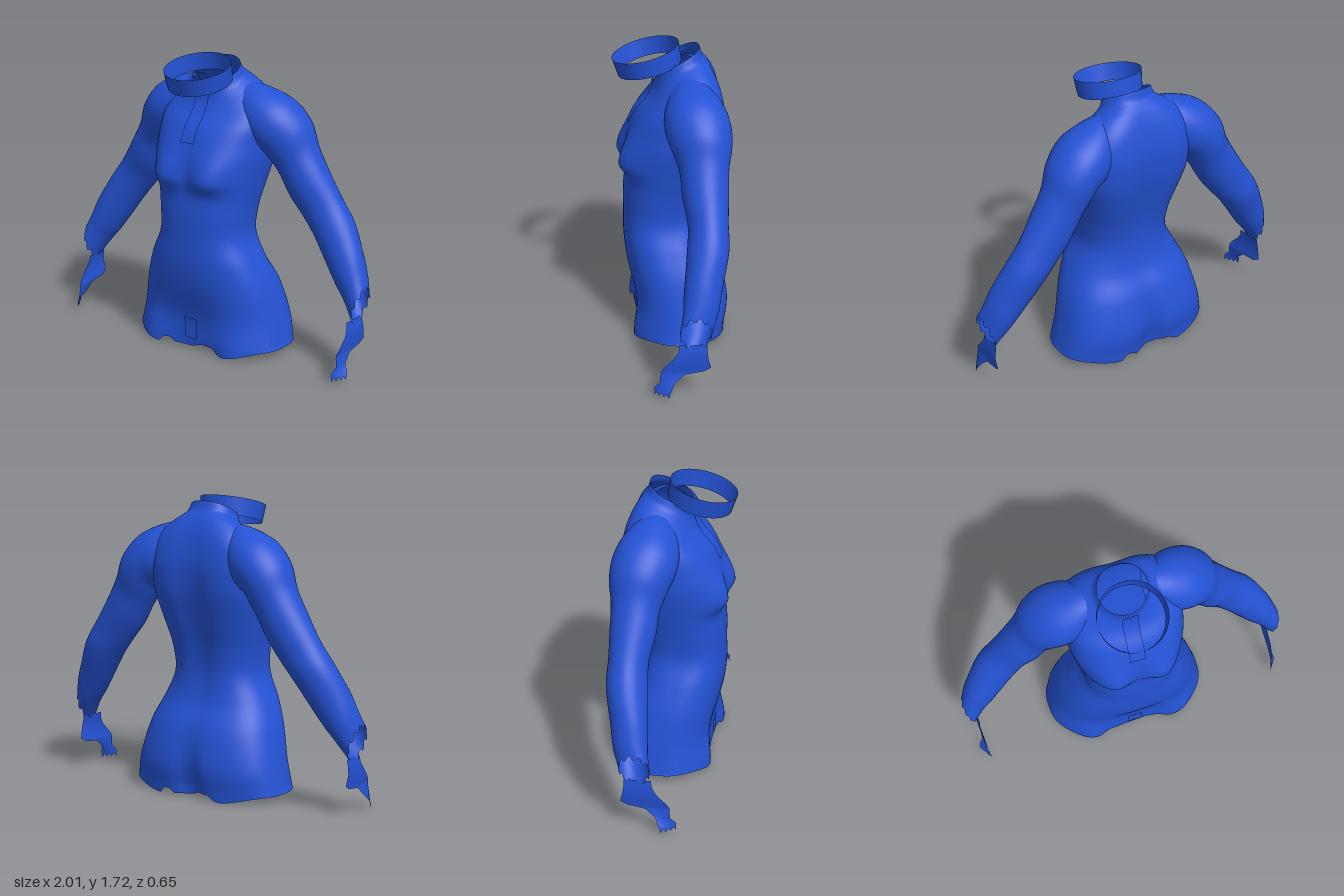
import * as THREE from 'three';

const blue = new THREE.MeshStandardMaterial({ color: 0x2452d4, side: THREE.DoubleSide });
blue.name = 'suit blue';

// Smooth grid from fn(u, v) -> [x, y, z]; closed joins the u ends
function loft(name, fn, nu, nv, closed, flip) {
  const pos = [], idx = [], cols = closed ? nu : nu + 1;
  for (let j = 0; j <= nv; j++)
    for (let i = 0; i < cols; i++) pos.push(...fn(i / nu, j / nv, i, j));
  for (let j = 0; j < nv; j++)
    for (let i = 0; i < nu; i++) {
      const k = (i + 1) % cols;
      const a = j * cols + i, b = j * cols + k, c = a + cols, d = b + cols;
      if (flip) idx.push(a, c, b, b, c, d);
      else idx.push(a, b, c, b, d, c);
    }
  const g = new THREE.BufferGeometry();
  g.setAttribute('position', new THREE.Float32BufferAttribute(pos, 3));
  g.setIndex(idx);
  g.computeVertexNormals();
  const mesh = new THREE.Mesh(g, blue);
  mesh.name = name;
  return mesh;
}

const spline = (rows, pick) => new THREE.CatmullRomCurve3(
  rows.map(r => new THREE.Vector3(...pick(r))), false, 'catmullrom', 0.5);
const { smoothstep, lerp } = THREE.MathUtils;
const bell = (d, s) => Math.exp(-(d * d) / (s * s));
const spow = (v, e) => Math.sign(v) * Math.pow(Math.abs(v), e);

// Torso sections: height, half width, front z, back z
const torsoRows = [
  [0.04, 0.492, 0.205, -0.305], [0.2, 0.457, 0.212, -0.325], [0.4, 0.408, 0.262, -0.28],
  [0.55, 0.345, 0.28, -0.205], [0.7, 0.276, 0.28, -0.185], [0.85, 0.28, 0.278, -0.205],
  [1.0, 0.306, 0.262, -0.245], [1.15, 0.333, 0.25, -0.282], [1.25, 0.335, 0.228, -0.294],
  [1.35, 0.335, 0.185, -0.294], [1.45, 0.31, 0.13, -0.265], [1.52, 0.26, 0.098, -0.228],
  [1.56, 0.205, 0.086, -0.198], [1.59, 0.16, 0.085, -0.177], [1.635, 0.138, 0.088, -0.162],
];
const torsoY = spline(torsoRows, r => [r[0], 0, 0]);
const torsoSize = spline(torsoRows, r => [r[1], r[2], r[3]]);

function torsoPoint(t, a) {
  let y = torsoY.getPoint(t).x;
  const s = torsoSize.getPoint(t);
  const front = Math.max(0, Math.sin(a)), back = Math.max(0, -Math.sin(a));
  // squarer across the back and hips, round at the neck
  const body = Math.sin(a) > 0
    ? lerp(0.7, 0.84, smoothstep(y, 0.1, 0.5))
    : lerp(0.78, 0.55, smoothstep(y, 0.8, 1.3));
  const e = lerp(body, 1, smoothstep(y, 1.4, 1.6));
  const zc = (s.y + s.z) / 2, depth = (s.y - s.z) / 2;
  const x = s.x * spow(Math.cos(a), e);
  let z = zc + depth * spow(Math.sin(a), e);
  // chest, thighs, spine groove and seat cleft
  z += 0.075 * front * bell(Math.abs(x) - 0.17, 0.13) * bell(y - 1.05, y > 1.05 ? 0.15 : 0.065);
  z += 0.06 * front * bell(Math.abs(x) - 0.3, 0.14) * bell(y, 0.22);
  z += 0.03 * back * bell(x, 0.1) * bell(y - 1.05, 0.45);
  z += 0.06 * back * bell(x, 0.07) * bell(y - 0.05, 0.25);
  // neckline slopes down to the front
  y += 0.5 * smoothstep(y, 1.3, 1.62) * (zc - z);
  return [x, y, z];
}

// Arm sections: outer x, y, inner x, y, front z, back z
const armRows = [
  [0.16, 1.58, 0.15, 1.27, 0.02, -0.2], [0.3, 1.55, 0.26, 1.21, 0.06, -0.275],
  [0.44, 1.49, 0.32, 1.18, 0.06, -0.298], [0.545, 1.38, 0.355, 1.13, 0.03, -0.295],
  [0.6, 1.245, 0.4, 1.06, -0.005, -0.275], [0.67, 1.12, 0.465, 0.945, -0.015, -0.268],
  [0.765, 0.97, 0.545, 0.84, -0.037, -0.257], [0.855, 0.84, 0.636, 0.73, -0.025, -0.252],
  [0.93, 0.7, 0.786, 0.515, 0.0, -0.205], [0.97, 0.6, 0.866, 0.417, 0.01, -0.18],
  [1.0, 0.515, 0.938, 0.315, 0.03, -0.14],
];
const armOuter = spline(armRows, r => [r[0], r[1], r[4]]);
const armInner = spline(armRows, r => [r[2], r[3], r[5]]);

function makeArm(side) {
  const nv = 60;
  return loft('sleeve', (u, v, i, j) => {
    const a = u * Math.PI * 2, o = armOuter.getPoint(v), n = armInner.getPoint(v);
    const c = (1 + Math.cos(a)) / 2;
    const tooth = j === nv ? (i % 4 < 2 ? 0.012 : -0.008) : 0; // ragged cuff
    return [
      side * (n.x + (o.x - n.x) * c + tooth * 0.3),
      n.y + (o.y - n.y) * c - tooth,
      (o.z + n.z) / 2 + (o.z - n.z) / 2 * Math.sin(a),
    ];
  }, 40, nv, true, side < 0);
}

// Torn hand piece: height, front z, back z, x
const handRows = [
  [0.33, 0.028, -0.12, 0.938], [0.29, 0.035, -0.12, 0.945], [0.25, 0.06, -0.125, 0.95],
  [0.19, 0.115, -0.14, 0.945], [0.165, 0.13, -0.1, 0.938], [0.15, 0.13, 0.0, 0.938],
  [0.1, 0.135, 0.055, 0.943], [0.065, 0.165, 0.075, 0.95], [0.03, 0.165, 0.09, 0.952],
];
function makeHand(side) {
  return loft('handPanel', (u, v, i, j) => {
    const [y, zf, zb, x] = handRows[j];
    const curl = (y < 0.08 ? 0.05 : 0.012) * (u - 0.5);
    const tear = j === handRows.length - 1 ? (i % 2 ? 0.012 : -0.008) : 0;
    return [side * (x + curl), y + tear, zf + (zb - zf) * u];
  }, 6, handRows.length - 1, false, side > 0);
}

// Narrow strip that follows the middle of the torso front
function frontStrip(name, t0, t1, half, lift) {
  return loft(name, (u, v) => {
    const t = t0 + (t1 - t0) * v;
    const [, y, z] = torsoPoint(t, Math.PI / 2);
    return [(u - 0.5) * 2 * half, y, z + lift];
  }, 4, 24, false, false);
}

export function createModel() {
  const group = new THREE.Group();
  group.name = 'bodysuit';

  // Torso shell, open at the neck and the hem, with a stepped tear in front
  group.add(loft('torso', (u, v, i, j) => {
    const p = torsoPoint(v, u * Math.PI * 2);
    if (j === 0) {
      const x = Math.abs(p[0]);
      const slope = 0.045 * (1 - smoothstep(x, 0.2, 0.48));
      const tear = x > 0.2 ? slope : (i % 6 < 3 ? 0.035 : 0.01);
      p[1] += 0.012 - tear;
    }
    return p;
  }, 96, 100, true, true));

  for (const side of [1, -1]) {
    const arm = new THREE.Group();
    arm.name = side > 0 ? 'leftArm' : 'rightArm';
    arm.add(makeArm(side), makeHand(side));
    group.add(arm);
  }

  group.add(frontStrip('frontPlacket', 8.05 / 14, 1, 0.045, 0.018));
  group.add(frontStrip('lowerTab', 0.2 / 14, 1 / 14, 0.043, 0.012));

  // Loose collar band tipped forward
  const collar = new THREE.Mesh(
    new THREE.CylinderGeometry(0.192, 0.183, 0.103, 48, 1, true), blue);
  collar.name = 'collar';
  collar.position.set(0, 1.627, 0.133);
  collar.rotation.x = 0.24;
  group.add(collar);

  return group;
}
